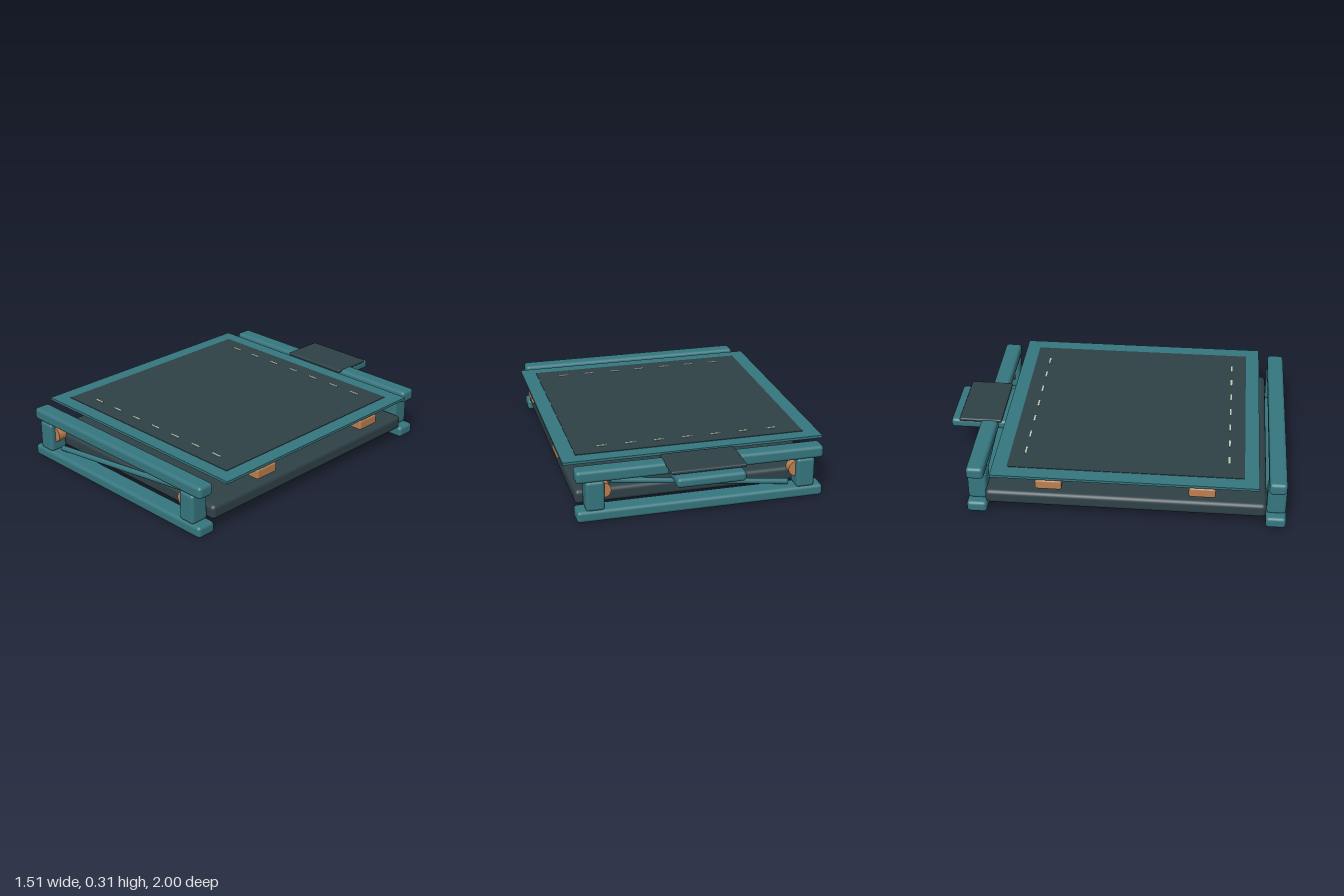
import * as THREE from 'three';
import { RoundedBoxGeometry } from 'three/addons/geometries/RoundedBoxGeometry.js';

const material = (name, color) => {
  const m = new THREE.MeshStandardMaterial({ color });
  m.name = name;
  return m;
};

export function createModel() {
  const model = new THREE.Group();
  model.name = 'foldedFrame';
  const teal = material('teal', 0x36767f);
  const slate = material('slate', 0x2f4147);
  const copper = material('copper', 0xbd8050);
  const stitch = material('pale stitch', 0xc2ccb4);

  const add = (name, geometry, mat, parent = model) => {
    const mesh = new THREE.Mesh(geometry, mat);
    mesh.name = name;
    parent.add(mesh);
    return mesh;
  };
  // Box given by its limits on each axis; radius 0 gives sharp edges
  const box = (name, [x0, x1], [y0, y1], [z0, z1], radius, mat, parent) => {
    const size = [x1 - x0, y1 - y0, z1 - z0];
    const geometry = radius
      ? new RoundedBoxGeometry(...size, 3, radius)
      : new THREE.BoxGeometry(...size);
    const mesh = add(name, geometry, mat, parent);
    mesh.position.set((x0 + x1) / 2, (y0 + y1) / 2, (z0 + z1) / 2);
    return mesh;
  };

  // Thick lower mat
  box('lowerMat', [-0.7, 0.7], [0.062, 0.147], [-0.715, 0.885], 0.025, slate);

  // End frames: two rails, two posts, diagonal brace and hinge discs
  for (const [name, z] of [['frontFrame', 0.942], ['backFrame', -0.765]]) {
    const frame = new THREE.Group();
    frame.name = name;
    frame.position.z = z;
    model.add(frame);
    box('bottomRail', [-0.71, 0.71], [0, 0.067], [-0.058, 0.058], 0.02, teal, frame);
    box('topRail', [-0.71, 0.71], [0.23, 0.302], [-0.05, 0.05], 0.02, teal, frame);
    for (const side of [-1, 1]) {
      const post = box('post', [-0.053, 0.053], [0.063, 0.238], [-0.055, 0.055], 0.018, teal, frame);
      post.position.x = side * 0.605;
      const disc = add('hingeDisc', new THREE.CylinderGeometry(0.044, 0.044, 0.05, 28), copper, frame);
      disc.rotation.x = Math.PI / 2;
      disc.position.set(side * 0.555, 0.17, 0);
    }
    const start = new THREE.Vector3(-0.515, 0.085, 0);
    const end = new THREE.Vector3(0.515, 0.217, 0);
    const span = end.clone().sub(start);
    const brace = add('diagonalBrace', new THREE.CylinderGeometry(0.016, 0.016, span.length(), 20), teal, frame);
    brace.position.copy(start).add(end).multiplyScalar(0.5);
    brace.quaternion.setFromUnitVectors(new THREE.Vector3(0, 1, 0), span.normalize());
  }

  // Top sheet with its inset panel
  box('topSheet', [-0.755, 0.755], [0.287, 0.302], [-0.669, 0.836], 0, teal);
  box('topPanel', [-0.667, 0.667], [0.301, 0.305], [-0.585, 0.754], 0, slate);

  // Two rows of stitches
  for (const z of [-0.497, 0.665]) {
    for (let i = -3; i <= 3; i++) {
      const x = i / 6;
      box('stitch', [x - 0.031, x + 0.031], [0.303, 0.308], [z - 0.005, z + 0.005], 0, stitch);
    }
  }

  // Side pads under the sheet
  for (const side of [-1, 1]) {
    for (const z of [0.521, -0.341]) {
      const pad = box('sidePad', [-0.038, 0.038], [0.215, 0.276], [z - 0.075, z + 0.075], 0.012, copper);
      pad.position.x = side * 0.707;
    }
  }

  // Rear tongue and its cover
  box('rearTongue', [-0.195, 0.195], [0.23, 0.287], [-1, -0.64], 0.02, teal);
  box('tongueCover', [-0.213, 0.213], [0.288, 0.308], [-0.945, -0.692], 0.008, slate);

  return model;
}
